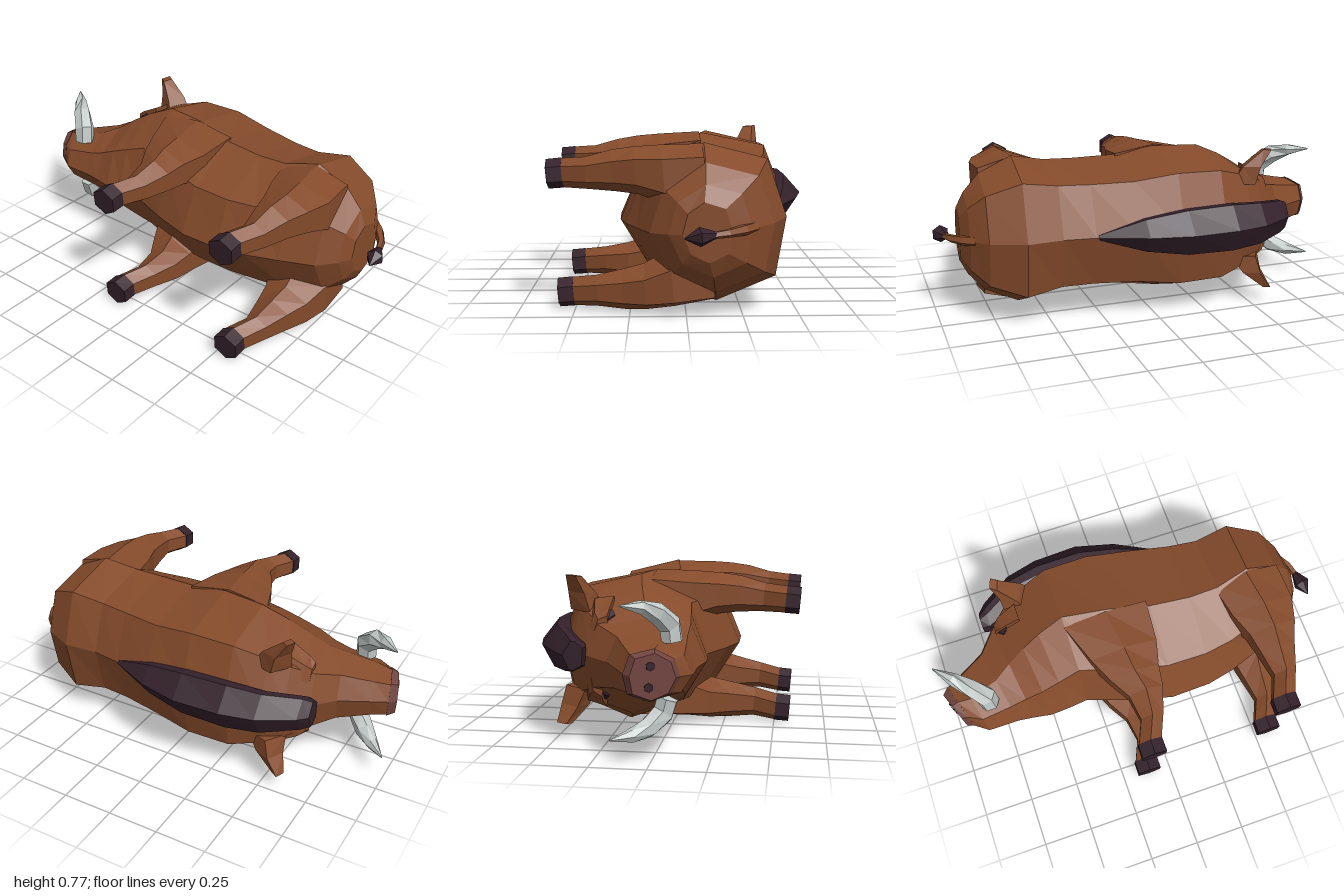
import * as THREE from 'three';

const mat = (name, color) => {
  const m = new THREE.MeshStandardMaterial({ color, flatShading: true });
  m.name = name;
  return m;
};

// Skin a list of closed rings (arrays of [x, y, z]), cap both ends, face outward.
function loft(rings) {
  const n = rings[0].length, pos = [], tris = [];
  rings.forEach(r => r.forEach(p => pos.push(p)));
  for (let i = 0; i < rings.length - 1; i++)
    for (let j = 0; j < n; j++) {
      const a = i * n + j, b = i * n + (j + 1) % n;
      tris.push([a, b, b + n], [a, b + n, a + n]);
    }
  [0, rings.length - 1].forEach((i, end) => {
    const c = pos.length;
    pos.push([0, 1, 2].map(k => rings[i].reduce((s, p) => s + p[k] / n, 0)));
    for (let j = 0; j < n; j++) {
      const a = i * n + j, b = i * n + (j + 1) % n;
      tris.push(end ? [a, b, c] : [b, a, c]);
    }
  });
  const V = pos.map(p => new THREE.Vector3(...p));
  const o = V[0];
  const volume = tris.reduce((s, [a, b, c]) => {
    const A = V[a].clone().sub(o), B = V[b].clone().sub(o), C = V[c].clone().sub(o);
    return s + A.dot(B.cross(C));
  }, 0);
  const out = [];
  tris.forEach(t => (volume < 0 ? [t[0], t[2], t[1]] : t).forEach(i => out.push(...pos[i])));
  const g = new THREE.BufferGeometry();
  g.setAttribute('position', new THREE.Float32BufferAttribute(out, 3));
  g.computeVertexNormals();
  return g;
}

// Round tapering rod through points [x, y, z, radius].
function rod(points, sides) {
  const P = points.map(p => new THREE.Vector3(p[0], p[1], p[2]));
  return loft(P.map((p, i) => {
    const dir = P[Math.min(i + 1, P.length - 1)].clone().sub(P[Math.max(i - 1, 0)]).normalize();
    const u = new THREE.Vector3(1, 0, 0.6).cross(dir).normalize();
    const w = dir.clone().cross(u);
    return Array.from({ length: sides }, (_, k) => {
      const a = k / sides * Math.PI * 2, r = points[i][3];
      return p.clone().addScaledVector(u, r * Math.cos(a)).addScaledVector(w, r * Math.sin(a)).toArray();
    });
  }));
}

// Eight-sided trunk section from its back point, belly point and half width.
function trunkRing([xTop, zTop, xBot, zBot, w]) {
  const at = (v, t) => [xTop + (xBot - xTop) * t, v * w, zTop + (zBot - zTop) * t];
  const half = [[0.74, 0.1], [1, 0.51], [0.67, 0.86]];
  return [at(0, 0), ...half.map(([v, t]) => at(v, t)), at(0, 1),
    ...half.slice().reverse().map(([v, t]) => at(-v, t))];
}

// Six-sided leg section: [z, x centre, x radius, y centre, y radius, squareness].
const legRing = side => ([z, xc, rx, yc, ry, k = 0.5]) =>
  [[0, 1], [1, k], [1, -0.5], [0, -1], [-1, -0.5], [-1, k]]
    .map(([a, b]) => [xc + a * rx, side * (yc + b * ry), z]);

export function createModel() {
  const hide = mat('brown hide', 0x854b2b);
  const dark = mat('dark bristle and hoof', 0x34212b);
  const snoutMat = mat('snout pink brown', 0x71433e);
  const ivory = mat('tusk ivory', 0xc1c9c7);

  const model = new THREE.Group();
  model.name = 'boar';
  // The animal lies on its flank: feet to +z, back to -z, rolled slightly.
  const boar = new THREE.Group();
  boar.name = 'boarBody';
  boar.rotation.x = 0.08;
  boar.position.y = 0.392;
  model.add(boar);
  const add = (name, geo, material) => {
    const m = new THREE.Mesh(geo, material);
    m.name = name;
    boar.add(m);
    return m;
  };

  // Head, trunk and rump
  add('trunk', loft([
    [-0.97, -0.1, -0.9, 0.125, 0.108],
    [-0.9, -0.14, -0.83, 0.175, 0.12],
    [-0.76, -0.22, -0.68, 0.175, 0.155],
    [-0.67, -0.33, -0.6, 0.185, 0.19],
    [-0.58, -0.42, -0.51, 0.2, 0.25],
    [-0.49, -0.475, -0.42, 0.195, 0.3],
    [-0.33, -0.525, -0.32, 0.185, 0.355],
    [-0.11, -0.535, -0.1, 0.26, 0.36],
    [0.1, -0.51, 0.1, 0.31, 0.325],
    [0.3, -0.465, 0.3, 0.305, 0.32],
    [0.45, -0.44, 0.44, 0.275, 0.325],
    [0.62, -0.455, 0.6, 0.22, 0.36],
    [0.78, -0.38, 0.76, 0.16, 0.285],
    [0.85, -0.28, 0.84, 0.08, 0.2],
    [0.885, -0.19, 0.875, 0.02, 0.13],
  ].map(trunkRing)), hide);

  // Slanted snout disc
  add('snout', loft([
    [-1, -0.07, -0.93, 0.115, 0.1],
    [-0.97, -0.105, -0.895, 0.13, 0.114],
  ].map(trunkRing)), snoutMat);

  // Bristled ridge along the back
  add('mane', loft([
    [-0.71, -0.43, 0.065, 0.035], [-0.67, -0.475, 0.08, 0.055], [-0.51, -0.58, 0.1, 0.065],
    [-0.35, -0.62, 0.11, 0.075], [-0.12, -0.63, 0.105, 0.08],
    [0.08, -0.58, 0.075, 0.06], [0.29, -0.475, 0.012, 0.01],
  ].map(([x, top, w, h]) => [
    [x, 0, top], [x, w, top + h], [x, w, top + 1.6 * h], [x, w * 0.6, top + 2.6 * h],
    [x, -w * 0.6, top + 2.6 * h], [x, -w, top + 1.6 * h], [x, -w, top + h],
  ])), dark);

  // Tail and tuft
  add('tail', rod([[0.82, 0, -0.29, 0.026], [0.875, 0, -0.24, 0.025],
    [0.925, 0, -0.17, 0.019], [0.95, 0, -0.09, 0.015]], 5), hide);
  add('tailTuft', rod([[0.942, 0, -0.115, 0.016], [0.957, 0, -0.05, 0.042],
    [0.966, 0, 0.015, 0.003]], 6), dark);

  const frontLeg = [[-0.12, -0.12, 0.21, 0.2, 0.165, 0.8], [0.08, -0.09, 0.165, 0.24, 0.132, 0.65],
    [0.2, -0.078, 0.122, 0.268, 0.104, 0.55], [0.3, -0.055, 0.085, 0.273, 0.091],
    [0.42, -0.065, 0.056, 0.268, 0.072], [0.535, -0.115, 0.056, 0.273, 0.066]];
  const hindLeg = [[-0.1, 0.6, 0.17, 0.2, 0.155, 0.7], [0.08, 0.625, 0.155, 0.235, 0.132, 0.6],
    [0.2, 0.63, 0.117, 0.263, 0.106, 0.55], [0.3, 0.62, 0.087, 0.27, 0.093],
    [0.42, 0.612, 0.056, 0.268, 0.072], [0.535, 0.562, 0.056, 0.273, 0.066]];

  for (const s of [1, -1]) {
    const label = s > 0 ? 'Upper' : 'Lower';
    // Legs and hooves
    for (const [name, rows, x] of [['front', frontLeg, -0.115], ['hind', hindLeg, 0.562]]) {
      add(name + 'Leg' + label, loft(rows.map(legRing(s))), hide);
      add(name + 'Hoof' + label, loft([[0.53, x, 0.059, 0.273, 0.068],
        [0.6, x, 0.06, 0.273, 0.067]].map(legRing(s))), dark);
    }
    // Ear
    add('ear' + label, loft([[-0.49, 0.18, -0.375, 0.085, 0.075], [-0.52, 0.265, -0.4, 0.06, 0.062],
      [-0.585, 0.345, -0.43, 0.024, 0.035]].map(([x, y, z, a, b]) =>
      [[x - a, s * y, z + b * 0.4], [x - a * 0.3, s * y, z - b], [x + a, s * y, z - b * 0.4],
        [x + a * 0.3, s * y, z + b]])), hide);
    // Brow ridge above the eye
    add('brow' + label, loft([[-0.65, 0.185, -0.29, -0.25], [-0.62, 0.21, -0.315, -0.25],
      [-0.52, 0.262, -0.34, -0.25]].map(([x, y, z0, z1]) =>
      [[x, s * (y - 0.09), z0 - 0.02], [x, s * (y - 0.02), z0], [x, s * y, z1], [x, s * (y - 0.09), z1 + 0.01]])), hide);
    // Tusk
    add('tusk' + label, rod([[-0.782, s * 0.125, 0.068, 0.05], [-0.785, s * 0.195, 0.052, 0.052],
      [-0.845, s * 0.25, 0.0, 0.046], [-0.91, s * 0.275, -0.06, 0.031],
      [-0.985, s * 0.283, -0.135, 0.003]], 6), ivory);
    // Eye, following the slope of the cheek
    add('eye' + label, loft([0.12, 0.158].map(y =>
      [[-0.65, -0.258], [-0.585, -0.262], [-0.595, -0.235], [-0.615, -0.222]]
        .map(([x, z]) => [x, s * (y + 0.8 * (x + 0.655)), z]))), dark);
    // Nostril
    const nostril = add('nostril' + label, new THREE.CylinderGeometry(0.02, 0.02, 0.008, 6), dark);
    nostril.position.set(-0.972, s * 0.045, 0.01);
    nostril.quaternion.setFromUnitVectors(new THREE.Vector3(0, 1, 0),
      new THREE.Vector3(-0.935, 0, 0.354).normalize());
  }
  return model;
}
